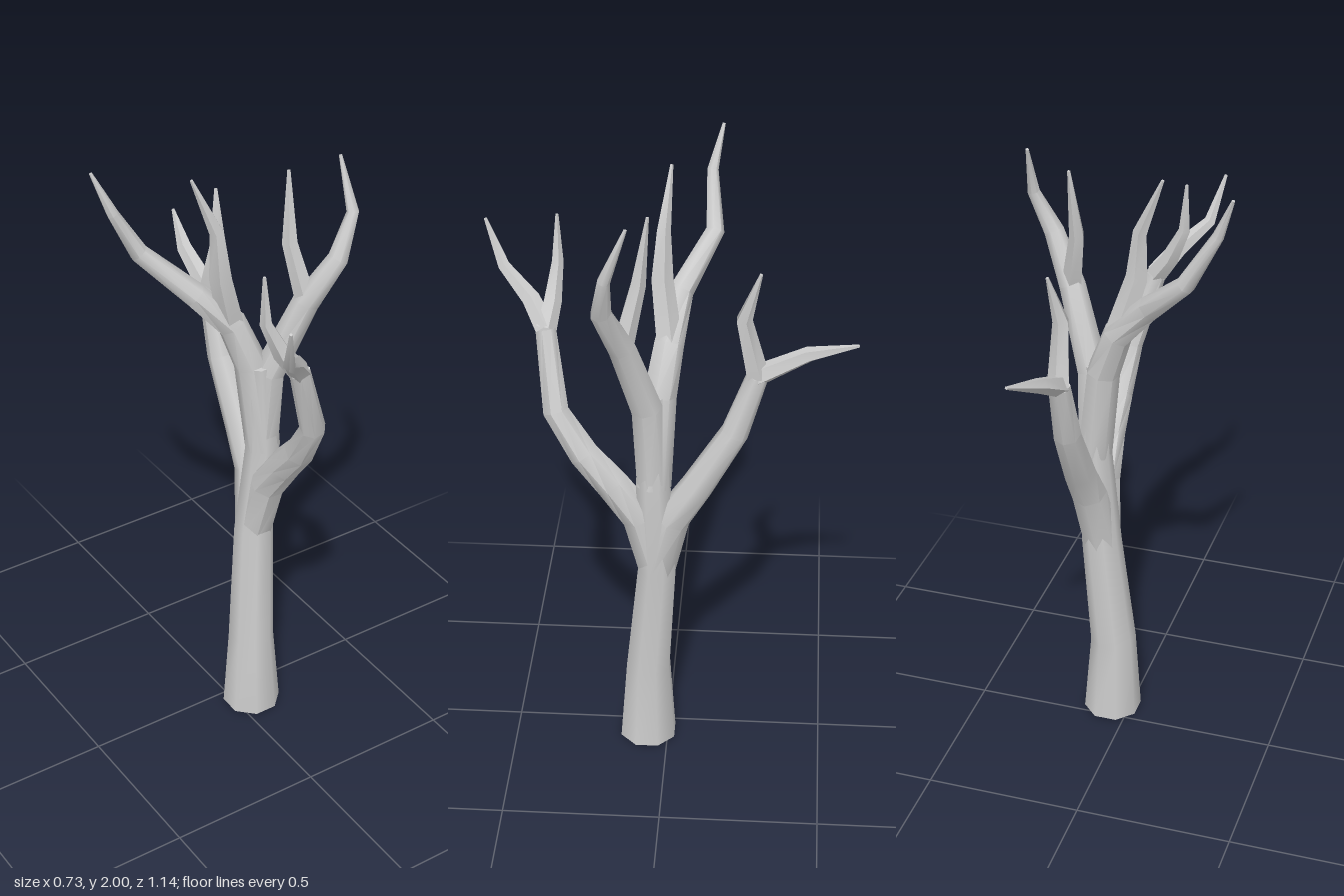
import * as THREE from 'three';
import { toCreasedNormals } from 'three/addons/utils/BufferGeometryUtils.js';

const UP = new THREE.Vector3(0, 1, 0);

// Bent tube through the centres, open at the root and capped at the tip
function limbGeometry(centres, sides, radiusAt) {
  const last = centres.length - 1;
  const positions = [];
  const index = [];
  centres.forEach((centre, i) => {
    const before = centres[Math.max(i - 1, 0)];
    const after = centres[Math.min(i + 1, last)];
    // the ring on the ground stays level, the others face along the limb
    const tangent = centre.y === 0 ? UP : after.clone().sub(before).normalize();
    const turn = new THREE.Quaternion().setFromUnitVectors(UP, tangent);
    for (let s = 0; s < sides; s++) {
      const a = ((s + 0.5) / sides) * Math.PI * 2;
      const p = new THREE.Vector3(Math.sin(a), 0, Math.cos(a)).multiplyScalar(radiusAt(i / last));
      positions.push(...p.applyQuaternion(turn).add(centre).toArray());
      if (i < last) {
        const p0 = i * sides + s;
        const p1 = i * sides + ((s + 1) % sides);
        index.push(p0, p1, p1 + sides, p0, p1 + sides, p0 + sides);
      }
    }
  });
  for (let s = 1; s < sides - 1; s++) index.push(last * sides, last * sides + s, last * sides + s + 1);
  const geometry = new THREE.BufferGeometry();
  geometry.setAttribute('position', new THREE.Float32BufferAttribute(positions, 3));
  geometry.setIndex(index);
  return toCreasedNormals(geometry, 0.9);
}

export function createModel() {
  const tree = new THREE.Group();
  tree.name = 'bareTree';
  const bark = new THREE.MeshStandardMaterial({ color: 0xcccccc, side: THREE.DoubleSide });

  // Grows a tapering limb from a start point and returns its centres for further forks
  function grow(name, sides, rootRadius, tipRadius, taper, start, ...bends) {
    const centres = [start, ...bends.map((b) => new THREE.Vector3(...b))];
    const radiusAt = (t) => THREE.MathUtils.lerp(rootRadius, tipRadius, t ** taper);
    const limb = new THREE.Mesh(limbGeometry(centres, sides, radiusAt), bark);
    limb.name = name;
    tree.add(limb);
    return centres;
  }
  // Boughs and twigs stay thick at first, then thin quickly
  const bough = (name, rootRadius, tipRadius, ...path) => grow(name, 7, rootRadius, tipRadius, 1.6, ...path);
  const twig = (name, rootRadius, ...path) => grow(name, 5, rootRadius, 0.005, 1.6, ...path);

  // trunk, flared at the ground
  const trunk = grow('trunk', 8, 0.095, 0.048, 0.6, new THREE.Vector3(0.06, 0, 0.065),
    [0.057, 0.28, 0.064], [0.085, 0.68, 0.033], [0.11, 1.0, 0.042], [0.09, 1.31, 0.045]);

  // front bough with two twigs at its end
  const front = bough('frontBough', 0.06, 0.032, trunk[2],
    [0.1, 0.88, 0.085], [0.105, 1.0, 0.17], [0.1, 1.1, 0.255], [0.085, 1.24, 0.34], [0.01, 1.48, 0.372]);
  twig('frontOuterTwig', 0.034, front[5], [-0.045, 1.55, 0.42], [-0.125, 1.62, 0.51], [-0.16, 1.76, 0.565]);
  twig('frontInnerTwig', 0.034, front[5], [-0.04, 1.55, 0.355], [-0.09, 1.66, 0.342], [-0.095, 1.81, 0.34]);

  // back bough with two twigs at its end
  const back = bough('backBough', 0.06, 0.034, trunk[2],
    [0.11, 0.88, -0.015], [0.115, 1.0, -0.09], [0.115, 1.2, -0.205], [0.115, 1.4, -0.27]);
  twig('backOuterTwig', 0.034, back[4], [0.12, 1.48, -0.42], [0.168, 1.54, -0.565]);
  twig('backInnerTwig', 0.036, back[4], [0.12, 1.59, -0.227], [0.143, 1.75, -0.275]);

  // right crown bough with one side twig
  const right = bough('rightBough', 0.056, 0.005, trunk[3], [0.075, 1.3, 0.025], [0.02, 1.45, 0],
    [-0.09, 1.57, -0.03], [-0.225, 1.71, -0.125], [-0.315, 1.87, -0.112], [-0.365, 2.0, -0.143]);
  twig('rightInnerTwig', 0.042, right[2], [-0.035, 1.64, 0.025], [-0.045, 1.79, 0.02], [-0.118, 1.97, 0]);

  // left crown bough with one side twig
  const left = bough('leftBough', 0.053, 0.005, trunk[3], [0.12, 1.28, 0.06], [0.205, 1.53, 0.125],
    [0.28, 1.68, 0.178], [0.338, 1.81, 0.163], [0.332, 1.97, 0.1]);
  twig('leftInnerTwig', 0.034, left[2], [0.172, 1.72, 0.08], [0.185, 1.94, 0.05]);

  return tree;
}
